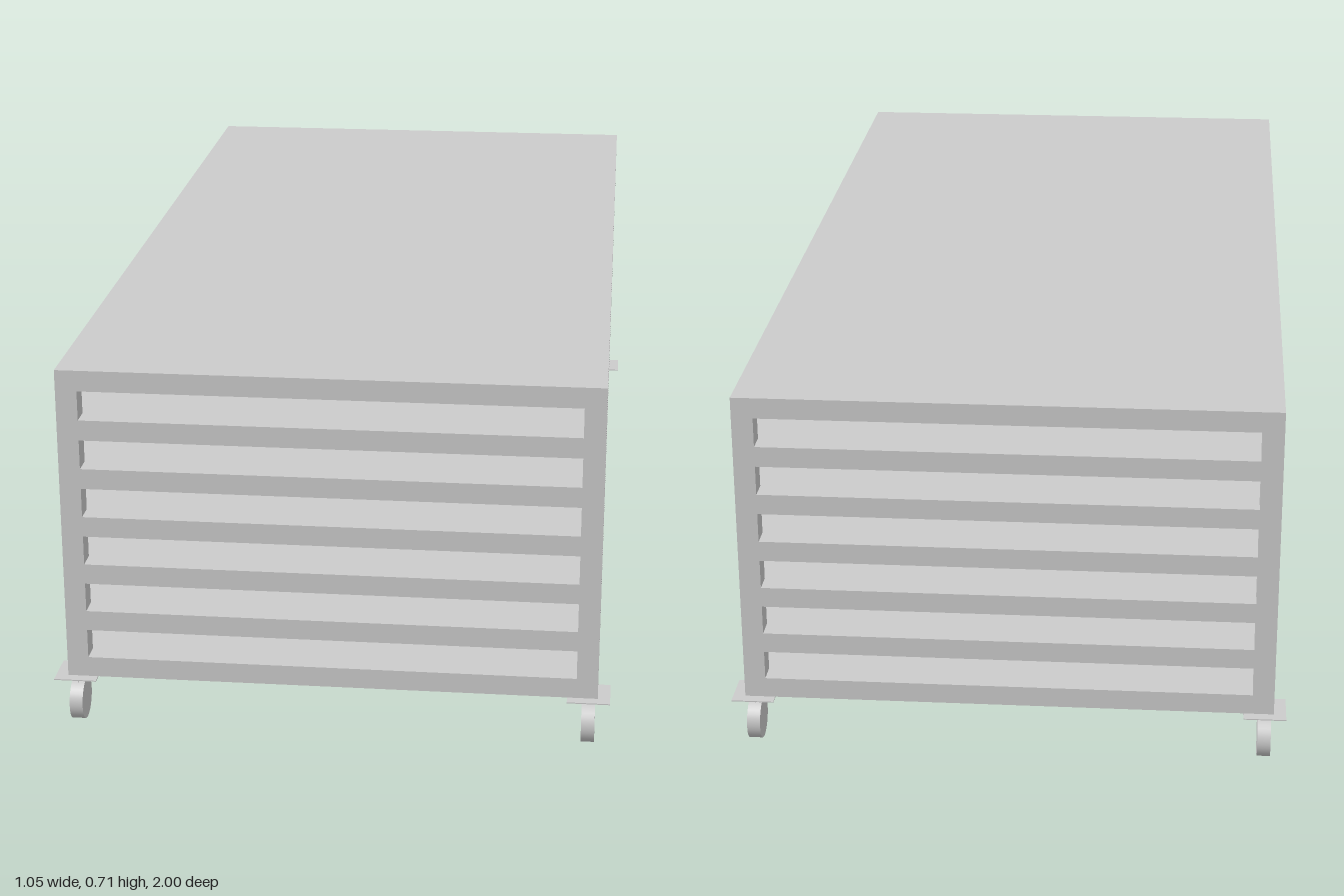
import * as THREE from 'three';

const W = 1.0, L = 1.96, BAR = 0.04;      // frame width, length, bar thickness
const BOTTOM = 0.095, TOP = 0.705;
const LEVELS = 7, RAIL_H = 0.039;
const WHEEL_R = 0.04, WHEEL_W = 0.025, WHEEL_X = 0.483, WHEEL_Z = 0.96;

const material = new THREE.MeshStandardMaterial({ color: 0xcccccc });
const thin = new THREE.MeshStandardMaterial({ color: 0xcccccc, side: THREE.DoubleSide });

function add(parent, name, geometry, x, y, z, mat = material) {
  const mesh = new THREE.Mesh(geometry, mat);
  mesh.name = name;
  mesh.position.set(x, y, z);
  parent.add(mesh);
  return mesh;
}

// One end or side of the cage: a plate with a row of slots
function slottedPanel(width) {
  const h = TOP - BOTTOM, half = width / 2;
  const shape = new THREE.Shape();
  shape.moveTo(-half, 0).lineTo(half, 0).lineTo(half, h).lineTo(-half, h).closePath();
  const pitch = (h - RAIL_H) / (LEVELS - 1);
  const inner = half - BAR;
  for (let i = 0; i < LEVELS - 1; i++) {
    const lo = i * pitch + RAIL_H, hi = (i + 1) * pitch;
    const slot = new THREE.Path();
    slot.moveTo(-inner, lo).lineTo(-inner, hi).lineTo(inner, hi).lineTo(inner, lo).closePath();
    shape.holes.push(slot);
  }
  return new THREE.ExtrudeGeometry(shape, { depth: BAR, bevelEnabled: false })
    .translate(0, BOTTOM, -BAR);
}

// Swivel plate, fork and wheel at one corner
function caster(sx, sz) {
  const group = new THREE.Group();
  group.name = 'caster';
  add(group, 'mountPlate', new THREE.BoxGeometry(0.08, 0.002, 0.08), 0, BOTTOM - 0.001, 0);
  add(group, 'fork', new THREE.PlaneGeometry(0.036, BOTTOM - WHEEL_R).rotateY(Math.PI / 2),
    0, (BOTTOM + WHEEL_R) / 2, 0, thin);
  add(group, 'wheel', new THREE.CylinderGeometry(WHEEL_R, WHEEL_R, WHEEL_W, 32).rotateZ(Math.PI / 2),
    0, WHEEL_R, 0);
  group.position.set(sx * WHEEL_X, 0, sz * WHEEL_Z);
  return group;
}

export function createModel() {
  const model = new THREE.Group();
  model.name = 'shelfTrolley';

  // Slotted cage: two ends and two sides
  const end = slottedPanel(W), side = slottedPanel(L);
  for (const s of [1, -1]) {
    add(model, 'endFrame', end, 0, 0, s * L / 2).rotation.y = s > 0 ? 0 : Math.PI;
    add(model, 'sideFrame', side, s * W / 2, 0, 0).rotation.y = s * Math.PI / 2;
  }

  // Thin shelves flush with the top of every rail
  const shelfT = 0.014;
  const pitch = (TOP - BOTTOM - RAIL_H) / (LEVELS - 1);
  for (let i = 0; i < LEVELS; i++) {
    const top = BOTTOM + RAIL_H + i * pitch;
    const isTop = i === LEVELS - 1;
    const inset = isTop ? 0 : 2 * BAR;
    add(model, isTop ? 'topPanel' : 'shelf',
      new THREE.BoxGeometry(W - inset, shelfT, L - inset), 0, top - shelfT / 2 + (isTop ? 0.0005 : 0), 0);
  }

  // Casters under the four corners
  for (const sx of [1, -1]) for (const sz of [1, -1]) model.add(caster(sx, sz));
  return model;
}
